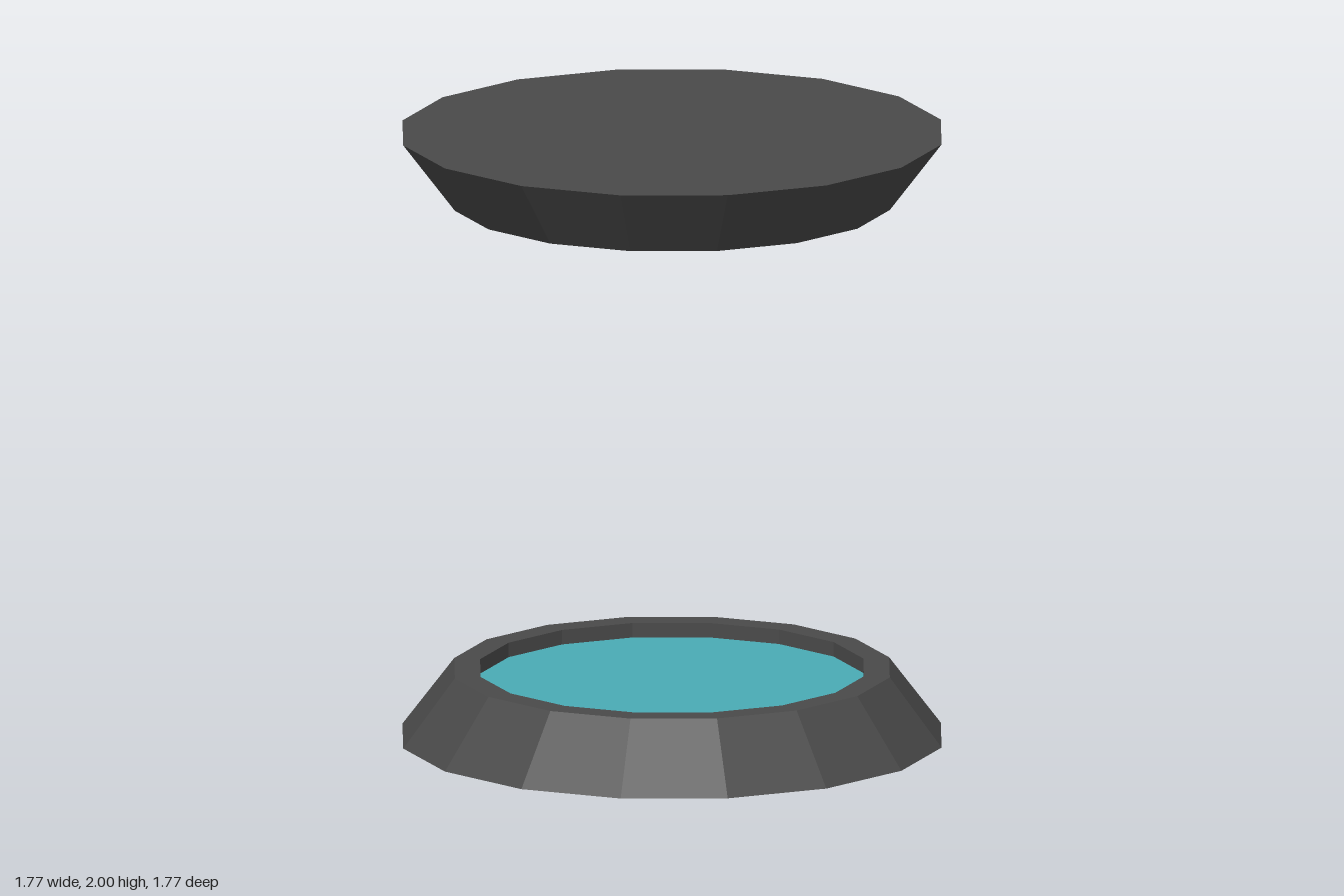
import * as THREE from 'three';

const SIDES = 16;
const HEIGHT = 0.225;
const RECESS_Y = 0.177;
const RIM_INNER = 0.63;

const darkMaterial = new THREE.MeshStandardMaterial({ color: 0x4a4a4a, flatShading: true });
const tealMaterial = new THREE.MeshStandardMaterial({ color: 0x4aabb5, flatShading: true });

// One tapered pad with a recessed glowing disc in its narrow end
function createPad(name) {
  const pad = new THREE.Group();
  pad.name = name;

  // Housing: flat base, sloping wall, rim and recess wall
  const profile = [
    [0, 0], [0.885, 0], [0.715, HEIGHT], [RIM_INNER, HEIGHT], [RIM_INNER, RECESS_Y],
  ].map(([r, y]) => new THREE.Vector2(r, y));
  const housing = new THREE.Mesh(new THREE.LatheGeometry(profile, SIDES), darkMaterial);
  housing.name = 'housing';

  // Disc closing the recess
  const disc = new THREE.Mesh(new THREE.CircleGeometry(RIM_INNER, SIDES), tealMaterial);
  disc.name = 'recessedDisc';
  disc.rotation.x = -Math.PI / 2;
  disc.position.y = RECESS_Y;

  pad.add(housing, disc);
  return pad;
}

export function createModel() {
  const model = new THREE.Group();
  model.name = 'padPair';

  const lower = createPad('lowerPad');

  // Upper pad is the same part turned over to face the lower one
  const upper = createPad('upperPad');
  upper.rotation.x = Math.PI;
  upper.position.y = 2;

  model.add(lower, upper);
  return model;
}
